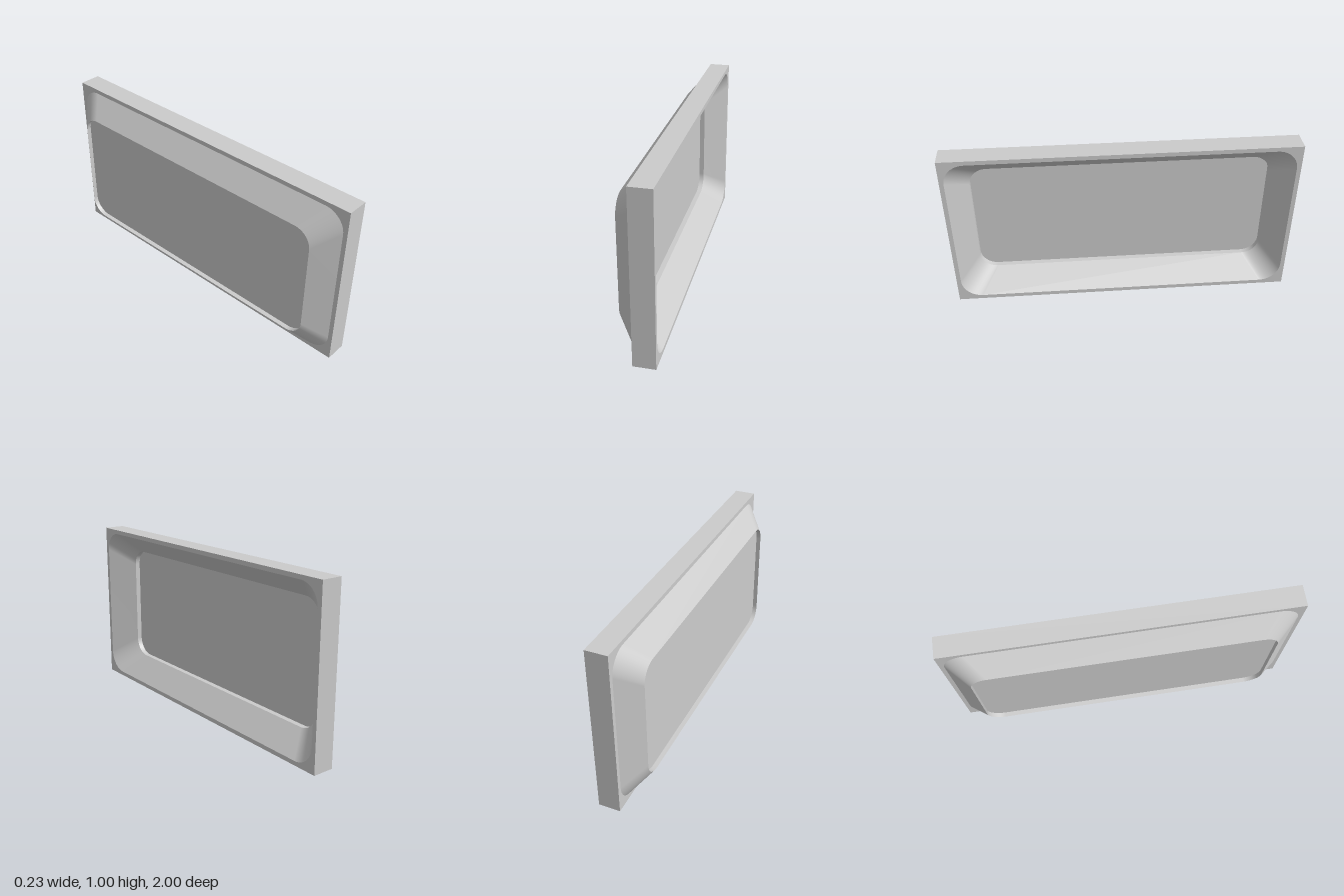
import * as THREE from 'three';

const ARC = 12; // segments per rounded corner

// Counter-clockwise outline of a rounded rectangle, as half sizes and corner radius
function outline(hw, hh, r) {
  const pts = [];
  const corners = [[1, 1], [-1, 1], [-1, -1], [1, -1]];
  corners.forEach(([sx, sy], c) => {
    for (let i = 0; i <= ARC; i++) {
      const a = (c + i / ARC) * Math.PI / 2;
      pts.push(new THREE.Vector2(sx * (hw - r) + r * Math.cos(a), sy * (hh - r) + r * Math.sin(a)));
    }
  });
  return pts;
}

// Strip of wall between two outlines: rising z faces outward, falling z faces inward
function wall(a, za, b, zb) {
  const n = a.length, pos = [], idx = [];
  a.forEach(p => pos.push(p.x, p.y, za));
  b.forEach(p => pos.push(p.x, p.y, zb));
  for (let i = 0; i < n; i++) {
    const j = (i + 1) % n;
    idx.push(i, j, n + j, i, n + j, n + i);
  }
  const g = new THREE.BufferGeometry();
  g.setAttribute('position', new THREE.Float32BufferAttribute(pos, 3));
  g.setIndex(idx);
  g.computeVertexNormals();
  return g;
}

export function createModel() {
  const material = new THREE.MeshStandardMaterial({ color: 0xcccccc });
  const group = new THREE.Group();
  const add = (name, geometry) => {
    geometry.rotateY(Math.PI / 2).translate(0, 0.5, 0); // local depth z becomes x
    const mesh = new THREE.Mesh(geometry, material);
    mesh.name = name;
    group.add(mesh);
  };

  const rim = outline(0.975, 0.475, 0.12);
  const opening = outline(0.858, 0.358, 0.1);
  const face = 0.115, plateBack = -0.01, innerEdge = -0.02, back = -0.115;

  // Square outer frame with a rounded hole
  const plate = new THREE.Shape([[-1, -0.5], [1, -0.5], [1, 0.5], [-1, 0.5]].map(p => new THREE.Vector2(...p)));
  plate.holes.push(new THREE.Path(rim.slice().reverse()));
  add('outerFrame', new THREE.ExtrudeGeometry(plate, { depth: face - plateBack, bevelEnabled: false }).translate(0, 0, plateBack));

  // Sloped reveal, straight lip and tapered rear housing
  add('innerSlope', wall(rim, face, opening, innerEdge));
  add('openingLip', wall(opening, innerEdge, opening, back));
  add('rearSlope', wall(opening, back, rim, plateBack));

  // Pane set inside the opening
  add('pane', new THREE.ExtrudeGeometry(new THREE.Shape(opening), { depth: 0.038, bevelEnabled: false }).translate(0, 0, -0.088));

  return group;
}
